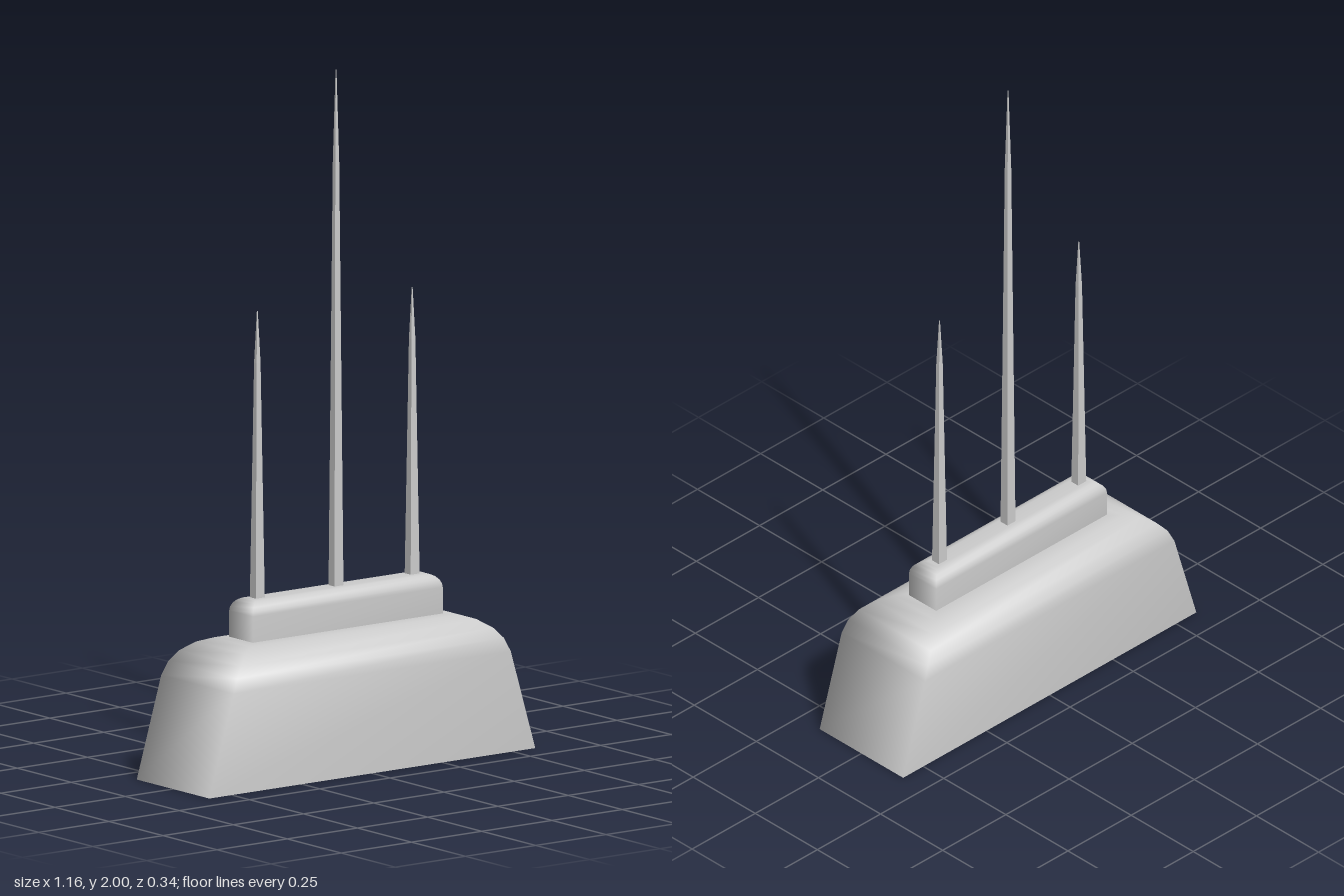
import * as THREE from 'three';

const material = new THREE.MeshStandardMaterial({ color: 0xcccccc });

// Rectangular loft through sections [y, halfX, halfZ]; sides smooth, underside a hard edge
function loft(name, sections, flat = false) {
  const pos = [], index = [];
  const ring = ([y, hx, hz]) => pos.push(-hx, y, hz, hx, y, hz, hx, y, -hz, -hx, y, -hz);
  sections.forEach(ring);
  for (let s = 0; s < sections.length - 1; s++) {
    for (let i = 0; i < 4; i++) {
      const a = s * 4 + i, b = s * 4 + (i + 1) % 4;
      index.push(a, b, b + 4, a, b + 4, a + 4);
    }
  }
  const t = (sections.length - 1) * 4;
  index.push(t, t + 1, t + 2, t, t + 2, t + 3);
  const u = t + 4;
  ring(sections[0]);
  index.push(u, u + 2, u + 1, u, u + 3, u + 2);

  let geometry = new THREE.BufferGeometry();
  geometry.setAttribute('position', new THREE.Float32BufferAttribute(pos, 3));
  geometry.setIndex(index);
  if (flat) geometry = geometry.toNonIndexed();
  geometry.computeVertexNormals();
  const mesh = new THREE.Mesh(geometry, material);
  mesh.name = name;
  return mesh;
}

// Quarter-round shoulder from (y0, hx, hz) rising by h and drawing in by dx, dz
function shoulder(y0, hx, hz, h, dx, dz, steps) {
  const out = [];
  for (let i = 0; i <= steps; i++) {
    const a = (i / steps) * Math.PI / 2, c = 1 - Math.cos(a);
    out.push([y0 + h * Math.sin(a), hx - dx * c, hz - dz * c]);
  }
  return out;
}

export function createModel() {
  const group = new THREE.Group();
  group.name = 'spiredBlock';

  // Body: flared ends, straight front and back, rounded top
  group.add(loft('base', [
    [0, 0.58, 0.168],
    [0.29, 0.493, 0.168],
    [0.33, 0.474, 0.16],
    [0.36, 0.448, 0.144],
    [0.385, 0.41, 0.115],
    [0.397, 0.37, 0.085],
    [0.4, 0.335, 0.06],
  ]));

  // Narrow raised block with rounded top edges
  group.add(loft('upperBlock', [
    [0.395, 0.338, 0.055],
    ...shoulder(0.475, 0.338, 0.055, 0.04, 0.04, 0.035, 5),
  ]));

  // Slender four-sided spires
  for (const [name, x, top] of [['rightSpire', -0.28, 1.34], ['centreSpire', 0, 2], ['leftSpire', 0.271, 1.34]]) {
    const h = top - 0.51;
    const spire = loft(name, [
      [0.51, 0.016, 0.014],
      [0.51 + h * 0.82, 0.007, 0.006],
      [top, 0.001, 0.001],
    ], true);
    spire.position.x = x;
    group.add(spire);
  }
  return group;
}
